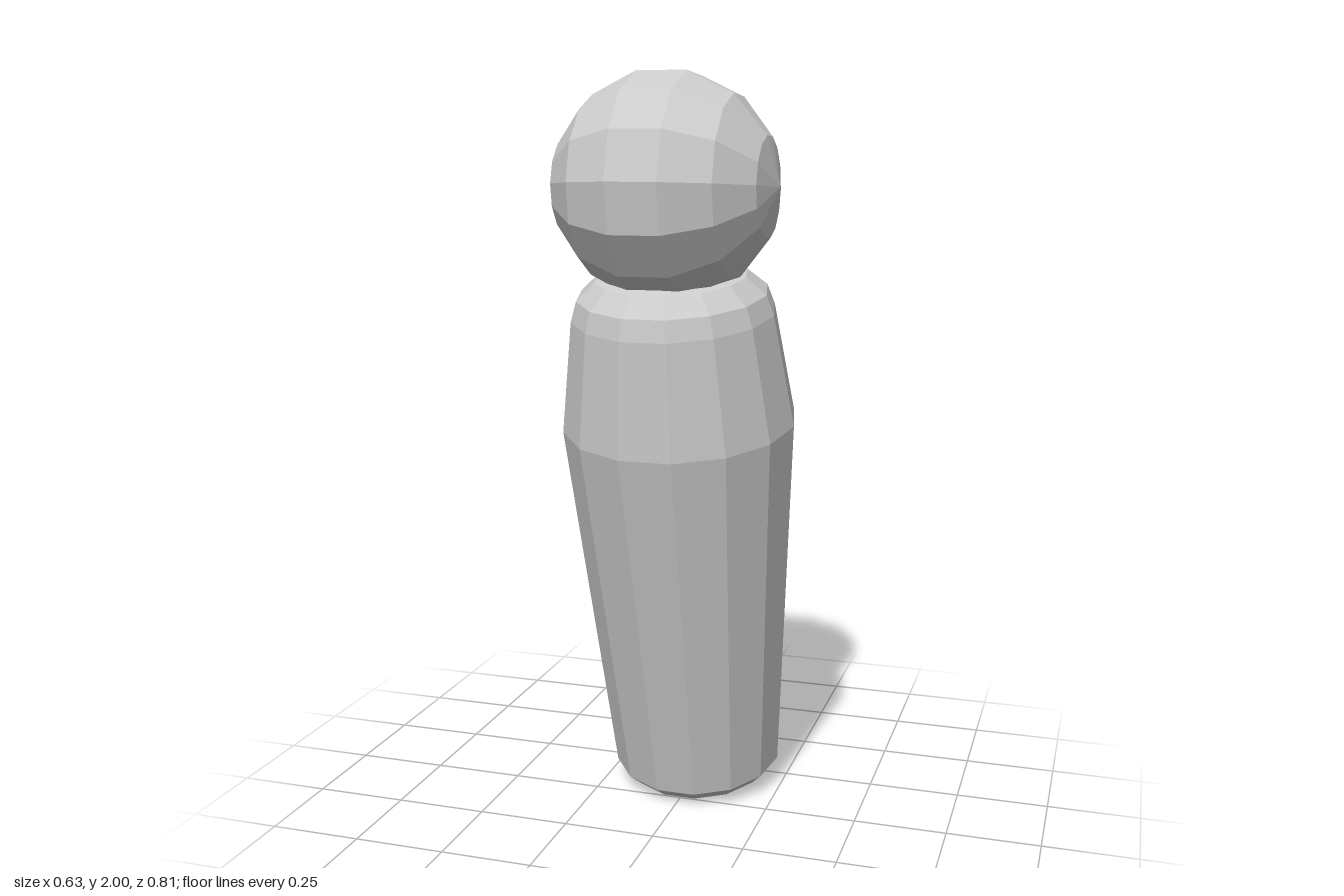
import * as THREE from 'three';

const SIDES = 14;

export function createModel() {
  const model = new THREE.Group();
  const material = new THREE.MeshStandardMaterial({ color: 0xcccccc, flatShading: true });

  function add(name, geometry, y, z, tilt) {
    const mesh = new THREE.Mesh(geometry, material);
    mesh.name = name;
    mesh.position.set(0, y, z);
    mesh.rotation.x = tilt;
    model.add(mesh);
  }

  // Body: tapered faceted peg, bevelled at both ends, leaning forward.
  // Profile of [radius, height along the axis from the shoulder ring].
  const profile = [
    [0, -1.088], [0.12, -1.088], [0.203, -1.067], [0.238, -1.03],
    [0.314, 0], [0.27, 0.3], [0.252, 0.354], [0.2, 0.4], [0.12, 0.415], [0, 0.415],
  ].map(([r, h]) => new THREE.Vector2(r, h));
  add('body', new THREE.LatheGeometry(profile, SIDES, Math.PI / 2), 1.095, 0.004, 0.181);

  // Head: faceted ball with its poles to the left and right
  const ball = new THREE.SphereGeometry(0.295, SIDES, SIDES / 2);
  ball.rotateY(Math.PI / 2).rotateZ(Math.PI / 2);
  add('head', ball, 1.716, 0.114, -0.063);

  return model;
}
